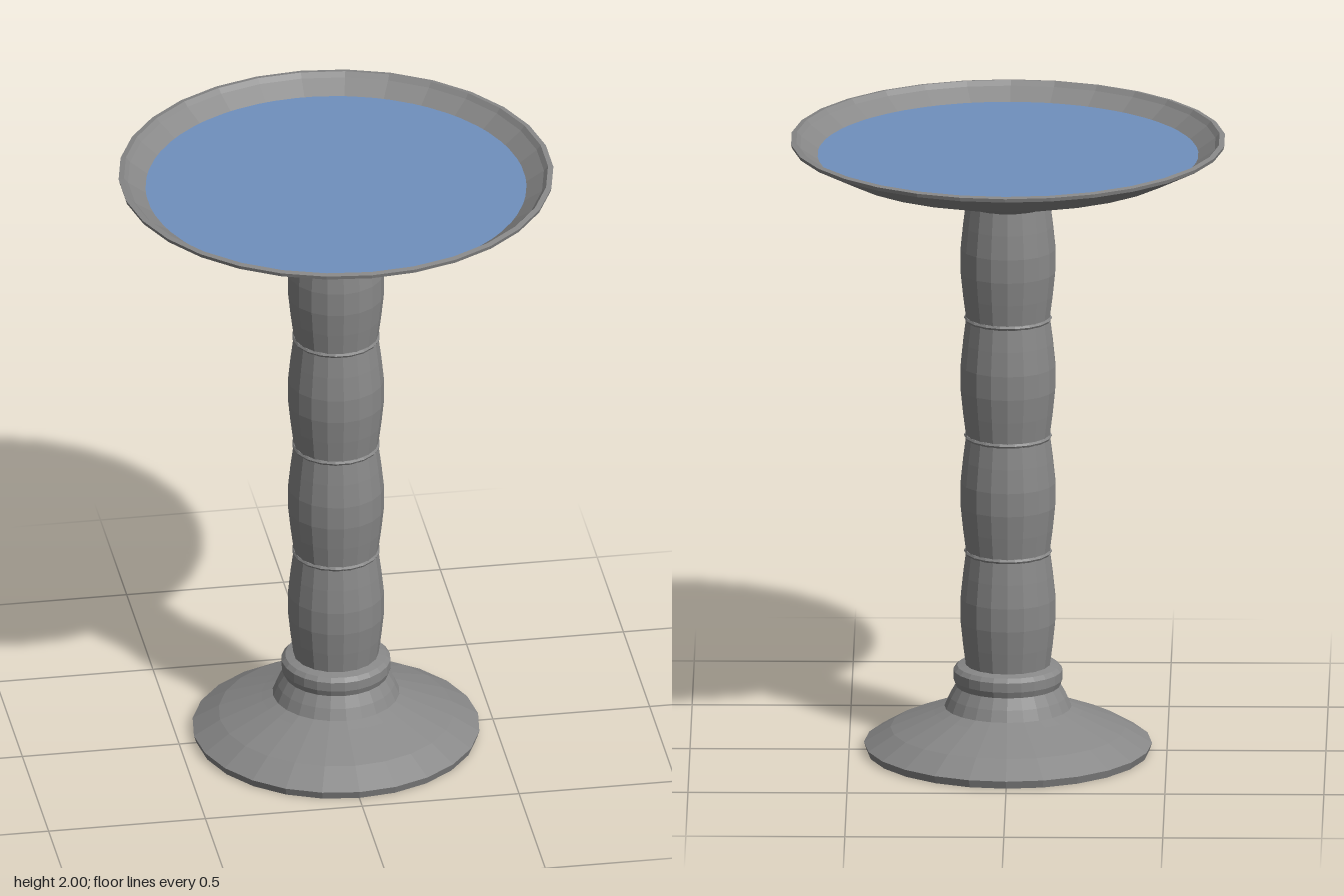
import * as THREE from 'three';

export function createModel() {
  const root = new THREE.Group();
  const stone = new THREE.MeshStandardMaterial({ color: 0x888888, flatShading: true });
  stone.name = 'stone';
  const blue = new THREE.MeshStandardMaterial({ color: 0x6f90be });
  blue.name = 'water';

  const add = (name, geometry, material, y = 0) => {
    const mesh = new THREE.Mesh(geometry, material);
    mesh.name = name;
    mesh.position.y = y;
    root.add(mesh);
    return mesh;
  };
  // Turned parts, profiles listed from bottom to top on the outside
  const lathe = (points, sides) =>
    new THREE.LatheGeometry(points.map(([r, y]) => new THREE.Vector2(r, y)), sides);

  // Flared foot with a collar
  add('foot', lathe([
    [0, 0], [0.445, 0], [0.453, 0.025], [0.37, 0.075], [0.235, 0.13], [0.2, 0.145],
    [0.185, 0.18], [0.165, 0.215], [0.172, 0.235], [0.172, 0.265], [0.16, 0.278],
    [0.13, 0.285], [0, 0.285],
  ], 24), stone);

  // Four bulging column drums
  const levels = [0.275, 0.652, 1.03, 1.415, 1.795];
  for (let i = 0; i < 4; i++) {
    const h = levels[i + 1] - levels[i];
    add('columnDrum' + (i + 1), lathe([
      [0.133, 0], [0.143, h * 0.2], [0.151, h * 0.4], [0.151, h * 0.6],
      [0.143, h * 0.8], [0.133, h],
    ], 18), stone, levels[i]);
  }

  // Thin beads between the drums
  for (let i = 1; i < 4; i++) {
    const bead = new THREE.TorusGeometry(0.131, 0.008, 6, 18);
    bead.rotateX(Math.PI / 2);
    add('columnBead' + i, bead, stone, levels[i]);
  }

  // Shallow bowl: outside, rim, then inside down to the floor
  add('bowl', lathe([
    [0, 1.785], [0.128, 1.787], [0.17, 1.805], [0.36, 1.86], [0.55, 1.917],
    [0.682, 1.985], [0.685, 1.997], [0.668, 2], [0.655, 1.985], [0.597, 1.945],
    [0.53, 1.925], [0.3, 1.87], [0, 1.845],
  ], 30), stone);

  // Water surface
  const surface = new THREE.CircleGeometry(0.602, 30);
  surface.rotateX(-Math.PI / 2);
  add('water', surface, blue, 1.948);

  return root;
}
